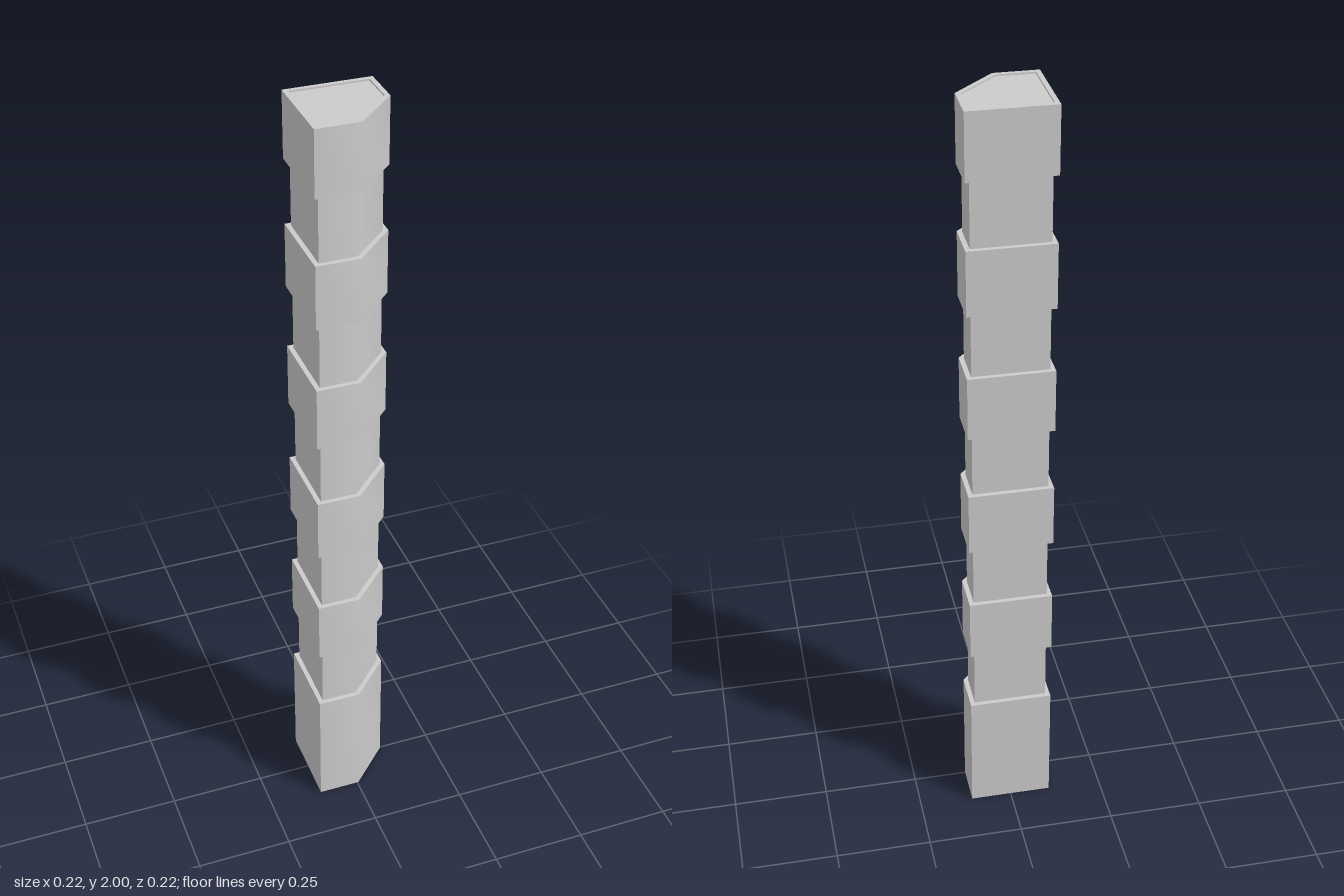
import * as THREE from 'three';
import { toCreasedNormals } from 'three/addons/utils/BufferGeometryUtils.js';

const OUTER = 0.108, CUT = 0.003, INSET = 0.012;
const material = new THREE.MeshStandardMaterial({ color: 0xcccccc });

// Square footprint with its front left corner cut off, shrunk evenly by an inset
function footprint(inset) {
  const h = OUTER - inset, c = CUT - inset * 0.41;
  return [[-h, -h], [c, -h], [h, -c], [h, h], [-h, h]].map(([x, y]) => new THREE.Vector2(x, y));
}

// Upright prism from y0 to y1; the cut corner is shaded softly, square corners stay sharp
function prism(name, inset, y0, y1, hollow = false) {
  const shape = new THREE.Shape(footprint(inset));
  if (hollow) shape.holes.push(new THREE.Path(footprint(INSET).reverse()));
  const raw = new THREE.ExtrudeGeometry(shape, { depth: y1 - y0, bevelEnabled: false });
  raw.rotateX(-Math.PI / 2).translate(0, y0, 0);
  const mesh = new THREE.Mesh(toCreasedNormals(raw, Math.PI / 3), material);
  mesh.name = name;
  return mesh;
}

export function createModel() {
  const group = new THREE.Group();
  group.name = 'bandedPillar';

  // Tall foot and the narrow shaft running through the bands
  group.add(prism('base', 0, 0, 1 / 3));
  group.add(prism('shaft', INSET, 1 / 3, 1.996));

  // Five evenly spaced wider bands, the last forming a rim at the top
  for (let i = 0; i < 5; i++) {
    const y = 0.5 + i / 3;
    group.add(prism('band' + (i + 1), 0, y, y + 1 / 6, true));
  }
  return group;
}
